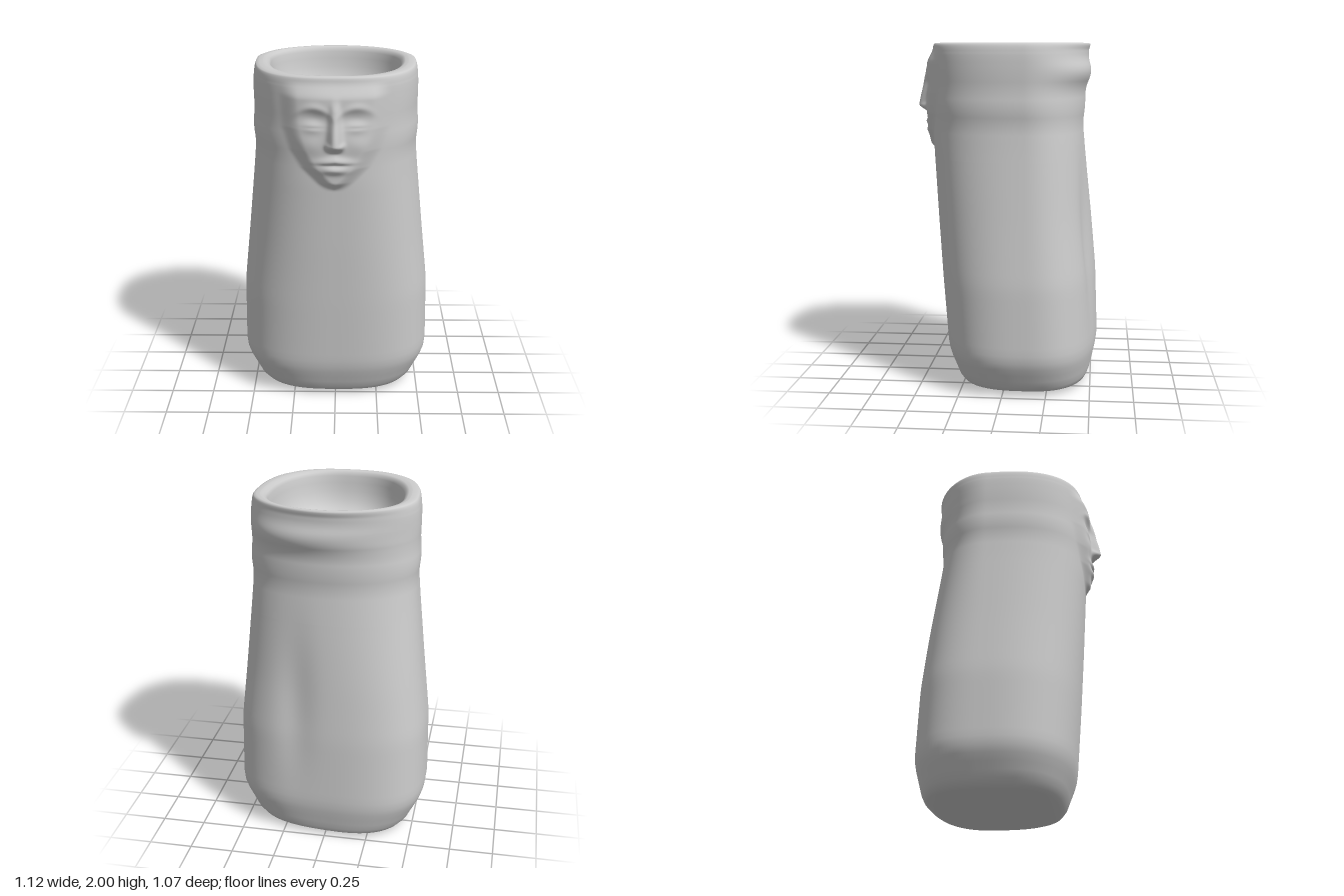
import * as THREE from 'three';

const SEG = 200;      // points around each ring
const ZC = -0.12;     // depth of the widest line of every cross-section

// Outer profile: y, half width, front z, back z, front squareness, back squareness
const PROFILE = [
  [0.00, 0.34, 0.18, -0.43, 2.7, 2.6],
  [0.03, 0.47, 0.28, -0.49, 2.7, 2.7],
  [0.22, 0.563, 0.35, -0.53, 2.75, 2.8],
  [0.65, 0.557, 0.385, -0.515, 2.65, 2.7],
  [1.00, 0.52, 0.41, -0.485, 2.6, 2.5],
  [1.40, 0.48, 0.435, -0.45, 2.6, 2.3],
  [1.54, 0.468, 0.437, -0.438, 2.65, 2.2],
  [1.64, 0.481, 0.44, -0.451, 2.65, 2.1],
  [1.74, 0.471, 0.44, -0.45, 2.65, 2.05],
  [1.83, 0.475, 0.44, -0.488, 2.65, 2.0],
  [1.88, 0.474, 0.44, -0.478, 2.65, 2.0],
  [1.94, 0.472, 0.44, -0.46, 2.65, 2.0],
  [1.98, 0.466, 0.438, -0.476, 2.65, 1.95],
  [2.00, 0.452, 0.43, -0.476, 2.65, 1.95],
];
// Face outline: y, half width
const MASK = [[1.36, 0], [1.42, 0.06], [1.5, 0.14], [1.6, 0.2], [1.72, 0.24], [1.9, 0.25], [2, 0.24]];

function lookUp(table, y) {
  if (y <= table[0][0]) return table[0].slice(1);
  for (let i = 1; i < table.length; i++) {
    if (y > table[i][0]) continue;
    const a = table[i - 1], b = table[i], t = (y - a[0]) / (b[0] - a[0]);
    return a.slice(1).map((v, k) => v + (b[k + 1] - v) * t);
  }
  return table[table.length - 1].slice(1);
}

// Profile averaged over a short height so the folds stay soft
function section(y) {
  const d = Math.min(0.04, y * 0.4, (2 - y) * 0.8);
  const sum = [0, 0, 0, 0, 0];
  for (let k = -3; k <= 3; k++) lookUp(PROFILE, y + d * k / 3).forEach((v, i) => { sum[i] += v / 7; });
  return sum;
}

const step = THREE.MathUtils.smoothstep;
const bump = (x, y, cx, cy, sx, sy) => Math.exp(-(((x - cx) / sx) ** 2) - (((y - cy) / sy) ** 2));

// Relief of the face, as an offset along z
function faceRelief(x, y) {
  if (y < 1.3) return 0;
  const a = Math.abs(x);
  const d = lookUp(MASK, y)[0] - a;
  const top = 1 - step(y, 1.88, 1.975);
  const mask = step(d, -0.06, 0.05) * top * step(y, 1.36, 1.42);
  let f = 0.03 + 0.013 * bump(a, y, 0, 1.72, 0.15, 0.2);            // domed base
  f -= 0.026 * bump(a, y, 0.105, 1.755, 0.08, 0.058);               // eye socket
  f += 0.022 * bump(a, y, 0.115, 1.735, 0.062, 0.036);              // eyelids
  f -= 0.004 * bump(a, y, 0.115, 1.73, 0.05, 0.009);                // eye slit
  const browY = 1.84 - 4 * (a - 0.12) ** 2;
  f += 0.008 * bump(a, y, 0.11, browY, 0.085, 0.022);               // brow
  const t = THREE.MathUtils.clamp((1.88 - y) / 0.24, 0, 1);         // nose
  const nose = (0.008 + 0.049 * t) * step(y, 1.585, 1.64) * (1 - step(y, 1.82, 1.92));
  f += nose * Math.exp(-(Math.abs(x / (0.024 + 0.012 * t)) ** 2.5));
  f += 0.012 * bump(a, y, 0.038, 1.632, 0.016, 0.018);              // nostrils
  f += 0.006 * bump(a, y, 0.13, 1.63, 0.06, 0.05);                  // cheek
  const lipY = 1.548 - 0.12 * a;
  f += 0.019 * bump(a, y, 0, lipY, 0.09, 0.022);                    // upper lip
  f += 0.02 * bump(a, y, 0, 1.495, 0.075, 0.024);                   // lower lip
  f -= 0.006 * bump(a, y, 0, 1.523, 0.09, 0.009);                   // mouth line
  return f * mask;
}

// One closed cross-section, with points packed more tightly at the front
function ring(y, [hw, zf, zb, nf, nb], shape) {
  const pts = [];
  for (let j = 0; j < SEG; j++) {
    const u = (j / SEG) * Math.PI * 2;
    const th = u - 0.6 * Math.sin(u);
    const s = Math.sin(th), c = Math.cos(th);
    const n = c > 0 ? nf : nb;
    const r = (Math.abs(s) ** n + Math.abs(c) ** n) ** (-1 / n);
    const p = new THREE.Vector3(hw * s * r, y, ZC + (c > 0 ? zf - ZC : ZC - zb) * c * r);
    if (shape) shape(p, c);
    pts.push(p);
  }
  return pts;
}

// Skin over a stack of rings, closed at its first or last ring
function loft(name, rings, material, capStart) {
  const pos = [], index = [];
  rings.forEach(r => r.forEach(p => pos.push(p.x, p.y, p.z)));
  for (let i = 0; i < rings.length - 1; i++) {
    for (let j = 0; j < SEG; j++) {
      const k = (j + 1) % SEG;
      const a = i * SEG + j, b = i * SEG + k, c = b + SEG, d = a + SEG;
      index.push(a, b, c, a, c, d);
    }
  }
  const row = capStart ? 0 : rings.length - 1;
  const centre = pos.length / 3;
  pos.push(0, rings[row][0].y, ZC);
  for (let j = 0; j < SEG; j++) {
    const a = row * SEG + j, b = row * SEG + (j + 1) % SEG;
    index.push(...(capStart ? [b, a, centre] : [a, b, centre]));
  }
  const geo = new THREE.BufferGeometry();
  geo.setAttribute('position', new THREE.Float32BufferAttribute(pos, 3));
  geo.setIndex(index);
  geo.computeVertexNormals();
  const mesh = new THREE.Mesh(geo, material);
  mesh.name = name;
  return mesh;
}

export function createModel() {
  const group = new THREE.Group();
  group.name = 'faceVase';
  const clay = new THREE.MeshStandardMaterial({ color: 0xcccccc });
  clay.name = 'grey clay';

  // Uneven back with a shallow groove and a lopsided fold, and the face on the front
  const sculpt = (p, c) => {
    if (c > 0) {
      p.z += faceRelief(p.x, p.y);
    } else {
      const low = 1 - step(p.y, 0.9, 1.6);
      p.z += 0.075 * p.x * low * -c;
      p.z += 0.028 * bump(p.x, p.y, 0.17, 0.85, 0.1, 0.4) * -c;
      p.z -= 0.06 * p.x * bump(0, p.y, 0, 1.84, 1, 0.07) * -c;
    }
  };

  // Outer body: coarse rows below, fine rows across the face
  const heights = [0, 0.01, 0.02, 0.03, 0.06, 0.1, 0.14, 0.18];
  for (let y = 0.22; y < 1.345; y += 0.045) heights.push(y);
  for (let y = 1.345; y < 1.998; y += 0.0065) heights.push(y);
  const outer = [ring(0, [0.3, 0.15, -0.4, 2.7, 2.6])];
  heights.forEach(y => outer.push(ring(y, section(y), sculpt)));
  const lip = [0.418, 0.41, -0.456, 2.55, 2.05];
  outer.push(ring(2, [0.44, 0.424, -0.47, 2.6, 2]), ring(2, lip));
  group.add(loft('outerBody', outer, clay, true));

  // Shallow bowl inside the rim: y, half width, front z, back z
  const bowl = [
    [1.998, 0.4, 0.397, -0.446], [1.99, 0.384, 0.386, -0.437], [1.97, 0.375, 0.38, -0.43],
    [1.93, 0.37, 0.376, -0.426], [1.88, 0.362, 0.37, -0.42], [1.83, 0.348, 0.356, -0.407],
    [1.79, 0.325, 0.333, -0.385], [1.765, 0.293, 0.303, -0.355], [1.752, 0.25, 0.265, -0.315],
    [1.747, 0.2, 0.21, -0.26], [1.747, 0.1, 0.06, -0.2],
  ];
  const inner = [ring(2, lip), ...bowl.map(([y, ...s]) => ring(y, [...s, 2.45, 2.15]))];
  group.add(loft('innerBowl', inner, clay, false));
  return group;
}
